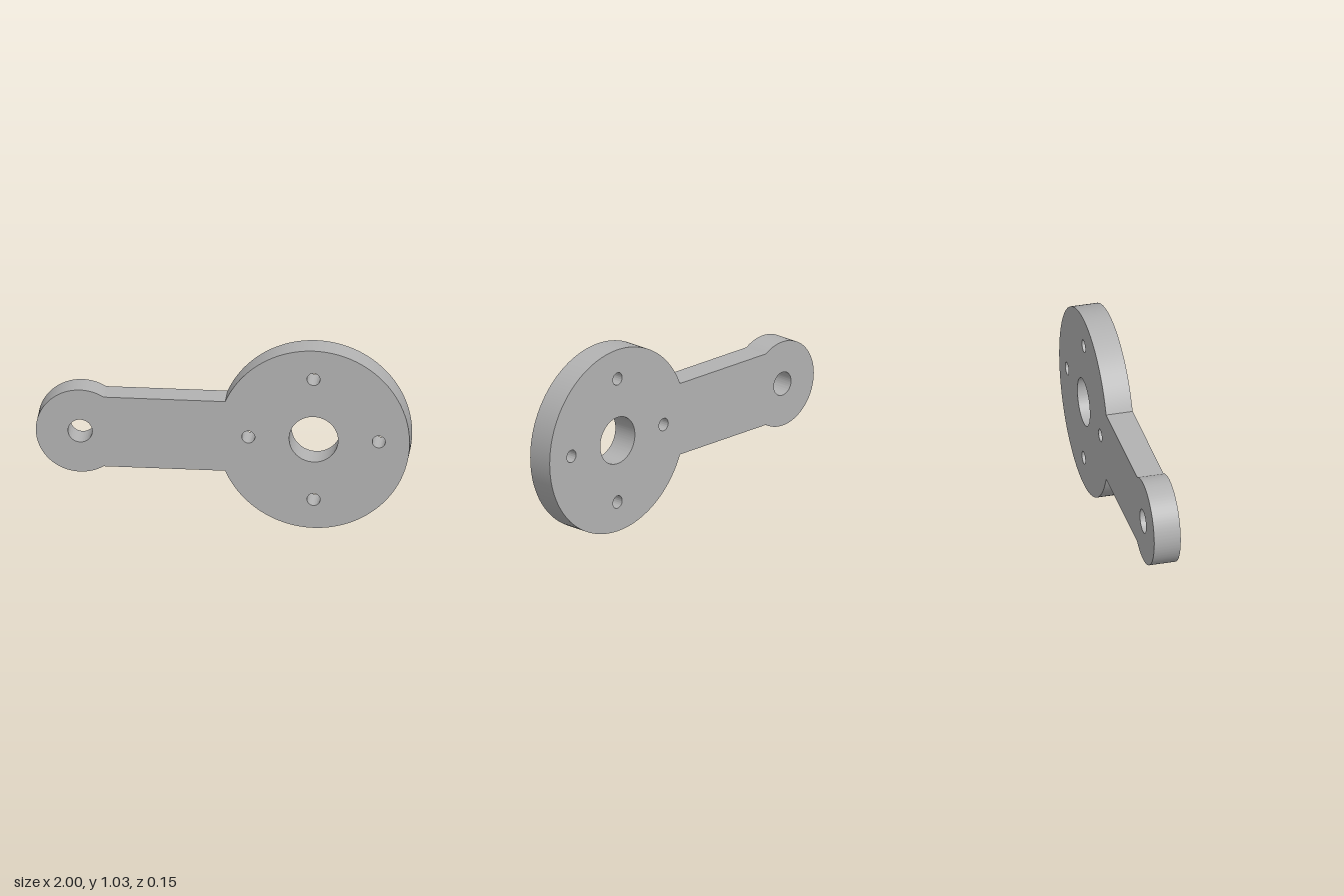
import * as THREE from 'three';
import { toCreasedNormals } from 'three/addons/utils/BufferGeometryUtils.js';

const AXIS_Y = 0.514;
const DEPTH = 0.146;
const ARM_HALF = 0.201;
const disc = { x: 0.486, r: 0.514 };
const eye = { x: -0.763, r: 0.237 };

function addHole(shape, x, y, r) {
  const hole = new THREE.Path();
  hole.absarc(x, y, r, 0, Math.PI * 2, true);
  shape.holes.push(hole);
}

export function createModel() {
  const group = new THREE.Group();
  group.name = 'crankArm';
  const metal = new THREE.MeshStandardMaterial({ color: 0xb2b2b2 });
  metal.name = 'grey metal';

  // Outline: large disc and small eye joined by a straight arm
  const a = Math.asin(ARM_HALF / disc.r);
  const b = Math.asin(ARM_HALF / eye.r);
  const outline = new THREE.Shape();
  outline.absarc(disc.x, 0, disc.r, -Math.PI + a, Math.PI - a, false);
  outline.absarc(eye.x, 0, eye.r, b, Math.PI * 2 - b, false);
  outline.closePath();

  // Shaft bore, ring of four bolt holes, and pin hole
  addHole(outline, disc.x, 0, 0.131);
  for (let i = 0; i < 4; i++) {
    const t = (i * Math.PI) / 2;
    addHole(outline, disc.x + 0.349 * Math.cos(t), 0.349 * Math.sin(t), 0.035);
  }
  addHole(outline, eye.x, 0, 0.065);

  const geometry = new THREE.ExtrudeGeometry(outline, {
    depth: DEPTH, bevelEnabled: false, curveSegments: 72,
  });
  geometry.translate(0, AXIS_Y, -DEPTH / 2);

  const plate = new THREE.Mesh(toCreasedNormals(geometry, 0.45), metal);
  plate.name = 'crankPlate';
  group.add(plate);
  return group;
}
